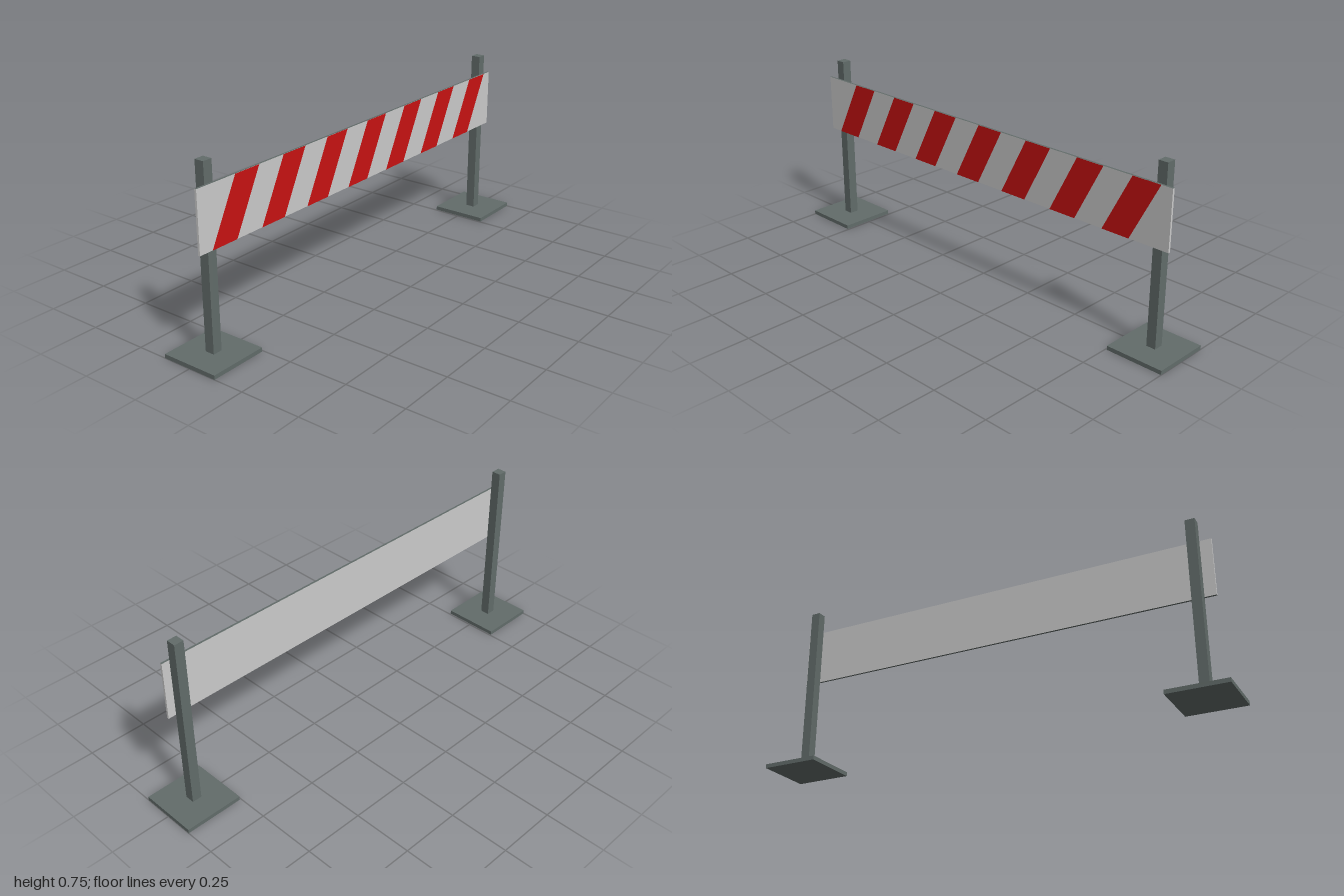
import * as THREE from 'three';

const steel = new THREE.MeshStandardMaterial({ color: 0x626c6a });
const pale = new THREE.MeshStandardMaterial({ color: 0xcccccc });
const red = new THREE.MeshStandardMaterial({ color: 0xc81212 });

function box(name, size, position, material) {
  const mesh = new THREE.Mesh(new THREE.BoxGeometry(...size), material);
  mesh.name = name;
  mesh.position.set(...position);
  return mesh;
}

export function createModel() {
  const model = new THREE.Group();
  model.name = 'roadBarrier';

  // Two square posts, each on a flat foot plate
  for (const [side, s] of [['left', 1], ['right', -1]]) {
    const stand = new THREE.Group();
    stand.name = side + 'Stand';
    stand.position.x = s * 0.878;
    const plateH = 0.017, top = 0.748;
    stand.add(
      box('footPlate', [0.244, plateH, 0.244], [0, plateH / 2, 0], steel),
      box('post', [0.04, top - plateH, 0.04], [0, (top + plateH) / 2, 0], steel)
    );
    model.add(stand);
  }

  // Board fixed to the front of the posts, with dark upper and lower edges
  const y0 = 0.421, y1 = 0.665, x0 = -0.945, x1 = 0.931, z0 = 0.02, z1 = 0.029;
  model.add(box('board', [x1 - x0, y1 - y0, z1 - z0],
    [(x0 + x1) / 2, (y0 + y1) / 2, (z0 + z1) / 2],
    [pale, pale, steel, steel, pale, pale]));

  // Slanted stripes on the board's front face
  const width = 0.123, slant = 0.126, pitch = 0.2532;
  const outline = new THREE.Shape([
    new THREE.Vector2(0, y0),
    new THREE.Vector2(width, y0),
    new THREE.Vector2(width + slant, y1),
    new THREE.Vector2(slant, y1)
  ]);
  const stripeGeometry = new THREE.ShapeGeometry(outline);
  const stripes = new THREE.Group();
  stripes.name = 'stripes';
  for (let i = 0; i < 7; i++) {
    const stripe = new THREE.Mesh(stripeGeometry, red);
    stripe.name = 'stripe' + (i + 1);
    stripe.position.set(-0.885 + i * pitch, 0, z1 + 0.001);
    stripes.add(stripe);
  }
  model.add(stripes);

  return model;
}
